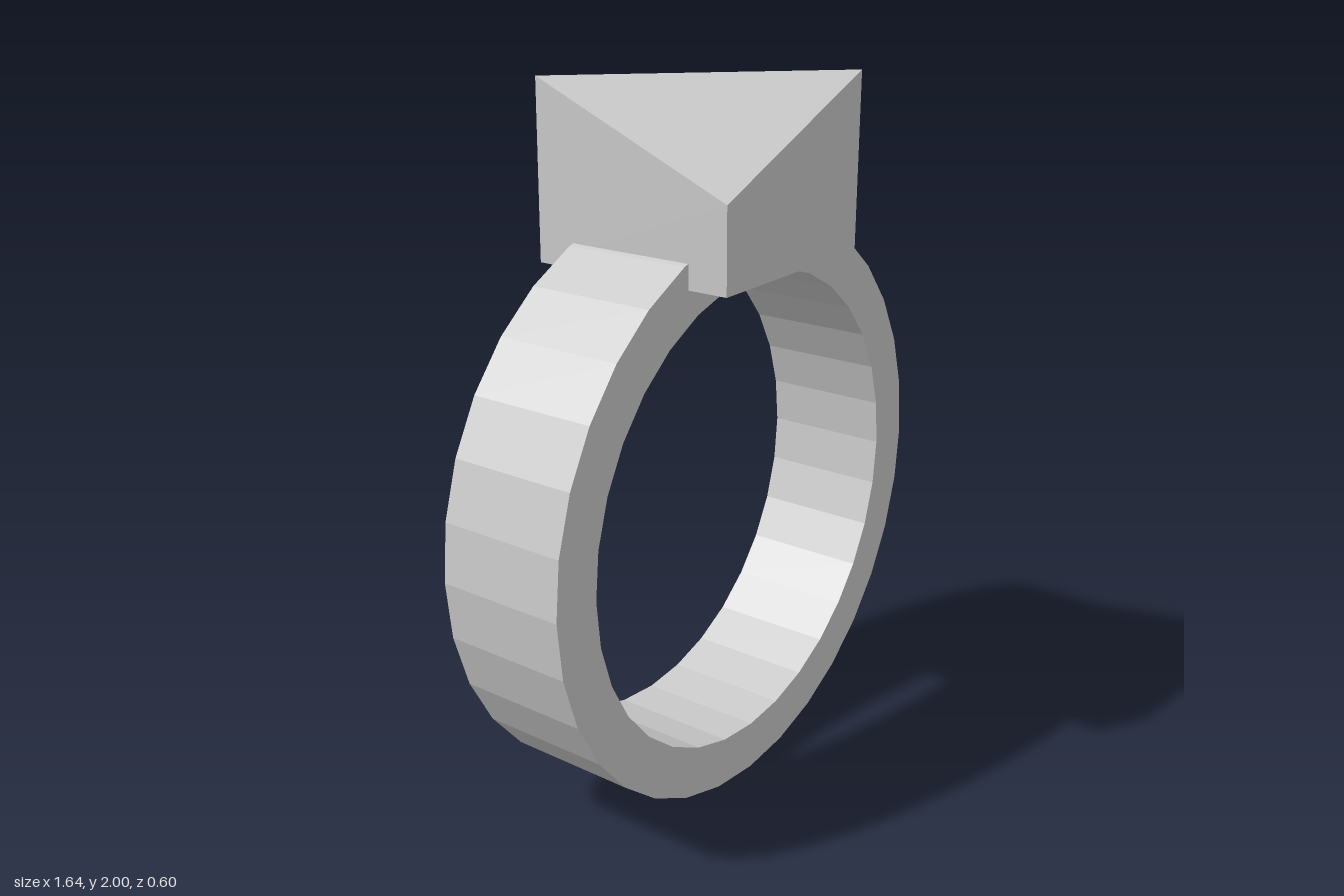
import * as THREE from 'three';

const SEGMENTS = 32;

// Regular polygon points around the ring's centre
function polygon(radius, centreY) {
  return Array.from({ length: SEGMENTS }, (_, i) => {
    const a = (i / SEGMENTS) * Math.PI * 2;
    return new THREE.Vector2(radius * Math.cos(a), centreY + radius * Math.sin(a));
  });
}

export function createModel() {
  const group = new THREE.Group();
  group.name = 'ring';
  const material = new THREE.MeshStandardMaterial({ color: 0xcccccc, flatShading: true });

  // Faceted finger band
  const width = 0.37;
  const shape = new THREE.Shape(polygon(0.822, 0.823));
  shape.holes.push(new THREE.Path(polygon(0.677, 0.823)));
  const bandGeometry = new THREE.ExtrudeGeometry(shape, { depth: width, bevelEnabled: false });
  bandGeometry.translate(0, 0, -width / 2);
  const band = new THREE.Mesh(bandGeometry, material);
  band.name = 'band';
  group.add(band);

  // Gem block: quarter turn puts the top face's split along the ridge
  const block = new THREE.BoxGeometry(0.6, 1, 0.6).rotateY(Math.PI / 2);
  const p = block.attributes.position;
  for (let i = 0; i < p.count; i++) {
    const x = p.getX(i), z = p.getZ(i);
    if (p.getY(i) < 0) {
      p.setY(i, 1.52);
    } else if (x * z > 0) {
      // Raised ridge ends, leaning slightly to the side
      p.setXYZ(i, x + 0.009, 2, z - 0.003);
    } else {
      // Low corners
      p.setY(i, 1.745);
    }
  }
  const gemGeometry = block.toNonIndexed();
  gemGeometry.computeVertexNormals();
  const gem = new THREE.Mesh(gemGeometry, material);
  gem.name = 'gem';
  group.add(gem);

  return group;
}
